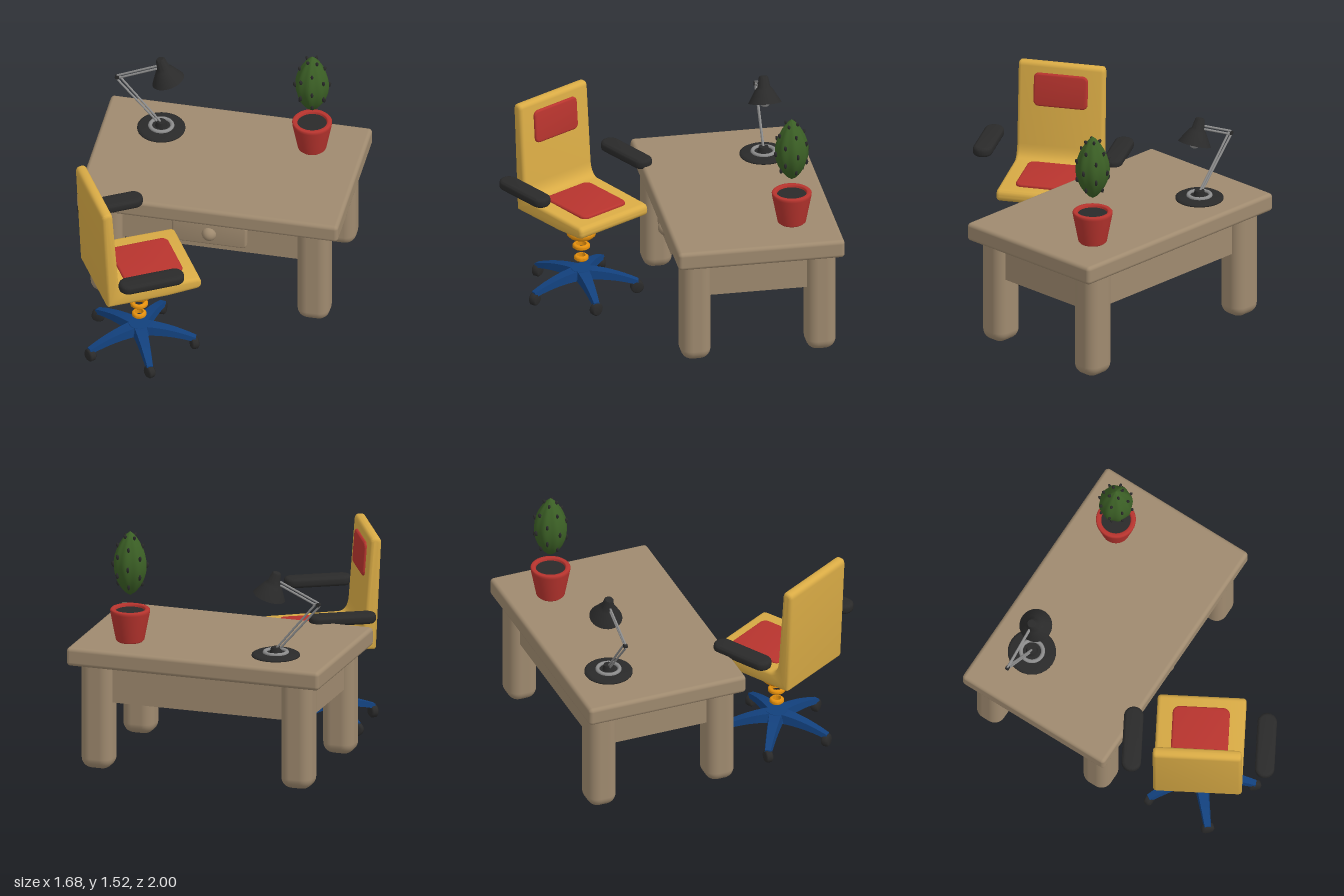
import * as THREE from 'three';
import { toCreasedNormals } from 'three/addons/utils/BufferGeometryUtils.js';
import { RoundedBoxGeometry } from 'three/addons/geometries/RoundedBoxGeometry.js';

const material = (name, color) => {
  const m = new THREE.MeshStandardMaterial({ color });
  m.name = name;
  return m;
};
const wood = material('wood', 0x9f8a6f);
const yellow = material('yellow upholstery', 0xd9ab45);
const red = material('red', 0xb8342e);
const blue = material('blue base', 0x12407c);
const orange = material('orange spring', 0xee960f);
const green = material('cactus green', 0x3b5f25);
const black = material('black', 0x2a2a2a);
const grey = material('grey metal', 0x8c8c8c);

function add(parent, name, geometry, mat, x = 0, y = 0, z = 0) {
  const mesh = new THREE.Mesh(geometry, mat);
  mesh.name = name;
  mesh.position.set(x, y, z);
  parent.add(mesh);
  return mesh;
}

function group(parent, name, x, y, z) {
  const g = new THREE.Group();
  g.name = name;
  g.position.set(x, y, z);
  parent.add(g);
  return g;
}

const lathe = (pts, segments = 32) =>
  new THREE.LatheGeometry(pts.map(([x, y]) => new THREE.Vector2(x, y)), segments);

// Bevelled extrusion, centred on its thickness
function extrude(shape, depth, bevel) {
  const g = new THREE.ExtrudeGeometry(shape, {
    depth: depth - 2 * bevel, bevelThickness: bevel, bevelSize: bevel,
    bevelOffset: -bevel, bevelSegments: 3, curveSegments: 8,
  });
  g.translate(0, 0, bevel - depth / 2);
  return toCreasedNormals(g, 0.6);
}

// Plate with rounded corners, facing z
function slab(w, h, depth, r, bevel) {
  const s = new THREE.Shape();
  const a = w / 2 - r, b = h / 2 - r;
  s.absarc(a, b, r, 0, Math.PI / 2);
  s.absarc(-a, b, r, Math.PI / 2, Math.PI);
  s.absarc(-a, -b, r, Math.PI, Math.PI * 1.5);
  s.absarc(a, -b, r, Math.PI * 1.5, Math.PI * 2);
  s.closePath();
  return extrude(s, depth, bevel);
}

// Round bar between two points
function rod(parent, name, from, to, r, mat) {
  const a = new THREE.Vector3(...from), b = new THREE.Vector3(...to);
  const m = add(parent, name, new THREE.CylinderGeometry(r, r, a.distanceTo(b), 10), mat);
  m.position.copy(a).add(b).multiplyScalar(0.5);
  m.quaternion.setFromUnitVectors(new THREE.Vector3(0, 1, 0), b.clone().sub(a).normalize());
}

function buildDesk(root) {
  const desk = group(root, 'desk', 0, 0, -0.467);
  add(desk, 'deskTop', new RoundedBoxGeometry(1.68, 0.12, 1.065, 3, 0.025), wood, 0, 0.74, 0);
  for (const x of [-0.665, 0.665])
    for (const z of [-0.4, 0.4])
      add(desk, 'deskLeg', new RoundedBoxGeometry(0.207, 0.75, 0.19, 4, 0.07), wood, x, 0.375, z);
  // Aprons between the legs
  for (const s of [-1, 1]) {
    add(desk, 'longApron', new THREE.BoxGeometry(1.24, 0.25, 0.06), wood, 0, 0.565, s * 0.405);
    add(desk, 'sideApron', new THREE.BoxGeometry(0.06, 0.25, 0.72), wood, s * 0.69, 0.565, 0);
  }
  add(desk, 'drawerFront', slab(0.48, 0.165, 0.06, 0.025, 0.012), wood, 0, 0.573, 0.44);
  add(desk, 'drawerKnob', new THREE.SphereGeometry(0.048, 20, 14), wood, 0, 0.573, 0.462);
}

function buildCactus(root) {
  const plant = group(root, 'cactus', 0.51, 0.8, -0.718);
  add(plant, 'pot', lathe([[0, 0], [0.08, 0], [0.09, 0.01], [0.125, 0.19], [0.126, 0.205],
    [0.12, 0.212], [0.1, 0.212], [0.094, 0.205], [0.09, 0.18]]), red);
  add(plant, 'soil', new THREE.CylinderGeometry(0.093, 0.09, 0.02, 28), black, 0, 0.185, 0);

  // Ribbed body
  const radiusAt = (t) => 0.108 * Math.pow(Math.sin(Math.PI * Math.pow(t, 0.92)), 0.75);
  const profile = [];
  for (let i = 0; i <= 20; i++) profile.push([Math.max(radiusAt(i / 20), 0.0001), 0.3 + 0.42 * i / 20]);
  const body = lathe(profile, 64);
  const p = body.attributes.position;
  for (let i = 0; i < p.count; i++) {
    const k = 0.97 + 0.03 * Math.cos(8 * Math.atan2(p.getZ(i), p.getX(i)));
    p.setXYZ(i, p.getX(i) * k, p.getY(i), p.getZ(i) * k);
  }
  body.computeVertexNormals();
  add(plant, 'cactusBody', body, green);

  // Staggered thorns
  const thorn = new THREE.SphereGeometry(1, 8, 6).scale(0.009, 0.02, 0.012);
  for (let row = 0; row < 6; row++)
    for (let i = 0; i < 8; i++) {
      if ((row + i) % 2) continue;
      const t = 0.17 + row * 0.145 + (i % 4) * 0.008;
      const a = (i / 8) * Math.PI * 2 + 0.2;
      const r = radiusAt(t);
      const m = add(plant, 'thorn', thorn, black, Math.sin(a) * r, 0.3 + 0.42 * t, Math.cos(a) * r);
      m.rotation.set((0.5 - t) * -0.9 + 0.25, a, 0, 'YXZ');
    }
}

function buildLamp(root) {
  const lamp = group(root, 'lamp', -0.46, 0.8, -0.718);
  add(lamp, 'lampBase', lathe([[0, 0], [0.152, 0], [0.152, 0.008], [0.135, 0.018], [0, 0.022]]), black);
  add(lamp, 'baseRing', new THREE.TorusGeometry(0.07, 0.013, 8, 32).rotateX(Math.PI / 2), grey, 0, 0.022, 0);
  add(lamp, 'basePivot', new THREE.CylinderGeometry(0.03, 0.04, 0.04, 20), black, 0, 0.035, 0);
  // Paired rods of the folding arm
  for (const s of [-0.011, 0.011]) {
    rod(lamp, 'lowerArm', [s, 0.03, 0], [-0.28 + s, 0.36 + s * 0.8, 0], 0.007, grey);
    rod(lamp, 'upperArm', [-0.285, 0.36 + s, 0], [-0.03, 0.475 + s, 0], 0.007, grey);
  }
  add(lamp, 'elbow', new THREE.CylinderGeometry(0.014, 0.014, 0.022, 14).rotateX(Math.PI / 2), black, -0.283, 0.36, 0);
  // Tilted shade with bulb
  const head = group(lamp, 'lampHead', 0.045, 0.385, 0);
  head.rotation.z = 0.32;
  const shade = lathe([[0.105, 0], [0.055, 0.085], [0.04, 0.1], [0.03, 0.16], [0.024, 0.168], [0, 0.17],
    [0, 0.155], [0.025, 0.15], [0.034, 0.098], [0.05, 0.08], [0.099, 0], [0.105, 0]]);
  add(head, 'lampShade', toCreasedNormals(shade, 0.7), black);
  add(head, 'bulb', new THREE.SphereGeometry(0.035, 18, 12), grey, 0, 0.005, 0);
}

function buildChair(root) {
  const chair = group(root, 'chair', -0.35, 0, 0.468);
  const body = group(chair, 'chairBody', 0, 0, 0);
  body.rotation.y = Math.PI * 2 / 3;

  // Seat and backrest in one side profile
  const s = new THREE.Shape();
  s.moveTo(-0.285, 0.55);
  s.lineTo(0.1, 0.55);
  s.lineTo(0.29, 0.563);
  s.quadraticCurveTo(0.325, 0.567, 0.325, 0.6);
  s.quadraticCurveTo(0.325, 0.641, 0.29, 0.643);
  s.lineTo(-0.16, 0.65);
  s.quadraticCurveTo(-0.215, 0.655, -0.224, 0.74);
  s.lineTo(-0.262, 1.25);
  s.quadraticCurveTo(-0.264, 1.285, -0.295, 1.285);
  s.quadraticCurveTo(-0.334, 1.285, -0.333, 1.245);
  s.lineTo(-0.3, 0.565);
  s.quadraticCurveTo(-0.298, 0.55, -0.285, 0.55);
  add(body, 'seatAndBack', extrude(s, 0.56, 0.022).rotateY(-Math.PI / 2), yellow);

  const backPad = add(body, 'backPad', slab(0.35, 0.22, 0.04, 0.035, 0.012), red, 0, 1.11, -0.256);
  backPad.rotation.x = -0.075;
  add(body, 'seatPad', slab(0.36, 0.39, 0.04, 0.045, 0.012).rotateX(-Math.PI / 2), red, 0, 0.642, 0.045);
  for (const x of [-0.42, 0.42])
    add(body, 'armrest', slab(0.123, 0.426, 0.062, 0.0605, 0.02).rotateX(-Math.PI / 2), black, x, 0.81, -0.055);

  // Stacked spring rings
  for (const [r, y, h] of [[0.092, 0.413, 0.056], [0.056, 0.32, 0.03], [0.046, 0.238, 0.034]]) {
    const i = r * 0.6, k = h / 2, c = h * 0.3;
    const ring = lathe([[i, -k], [r - c, -k], [r, c - k], [r, k - c], [r - c, k], [i, k], [i, -k]]);
    add(chair, 'springRing', toCreasedNormals(ring, 0.9), orange, 0, y, 0);
  }

  // Five drooping, tapering legs with casters
  add(chair, 'hub', new THREE.CylinderGeometry(0.065, 0.085, 0.06, 20), blue, 0, 0.135, 0);
  let arm = new THREE.BoxGeometry(1, 1, 1, 8, 1, 1);
  const p = arm.attributes.position;
  for (let i = 0; i < p.count; i++) {
    const t = p.getX(i) + 0.5;
    const top = 0.165 - 0.075 * t * t;
    const y = p.getY(i) > 0 ? top : top - (0.065 - 0.035 * t);
    const flare = p.getY(i) > 0 ? 0.8 : 1;
    p.setXYZ(i, 0.36 * t, y, p.getZ(i) * (0.105 - 0.06 * t) * flare);
  }
  arm = toCreasedNormals(arm, 0.5);
  const wheel = lathe([[0, -0.024], [0.032, -0.024], [0.042, -0.014], [0.042, 0.014], [0.032, 0.024], [0, 0.024]], 20)
    .rotateZ(Math.PI / 2);
  const turns = [0.5, 0.8, 0.8, Math.PI / 2, 0];
  turns.forEach((turn, k) => {
    const a = (-5 + 72 * k) * Math.PI / 180;
    add(chair, 'baseLeg', arm, blue).rotation.y = -a;
    add(chair, 'caster', wheel, black, 0.35 * Math.cos(a), 0.042, 0.35 * Math.sin(a)).rotation.y = turn;
  });
}

export function createModel() {
  const root = new THREE.Group();
  root.name = 'deskAndChair';
  buildDesk(root);
  buildCactus(root);
  buildLamp(root);
  buildChair(root);
  return root;
}
